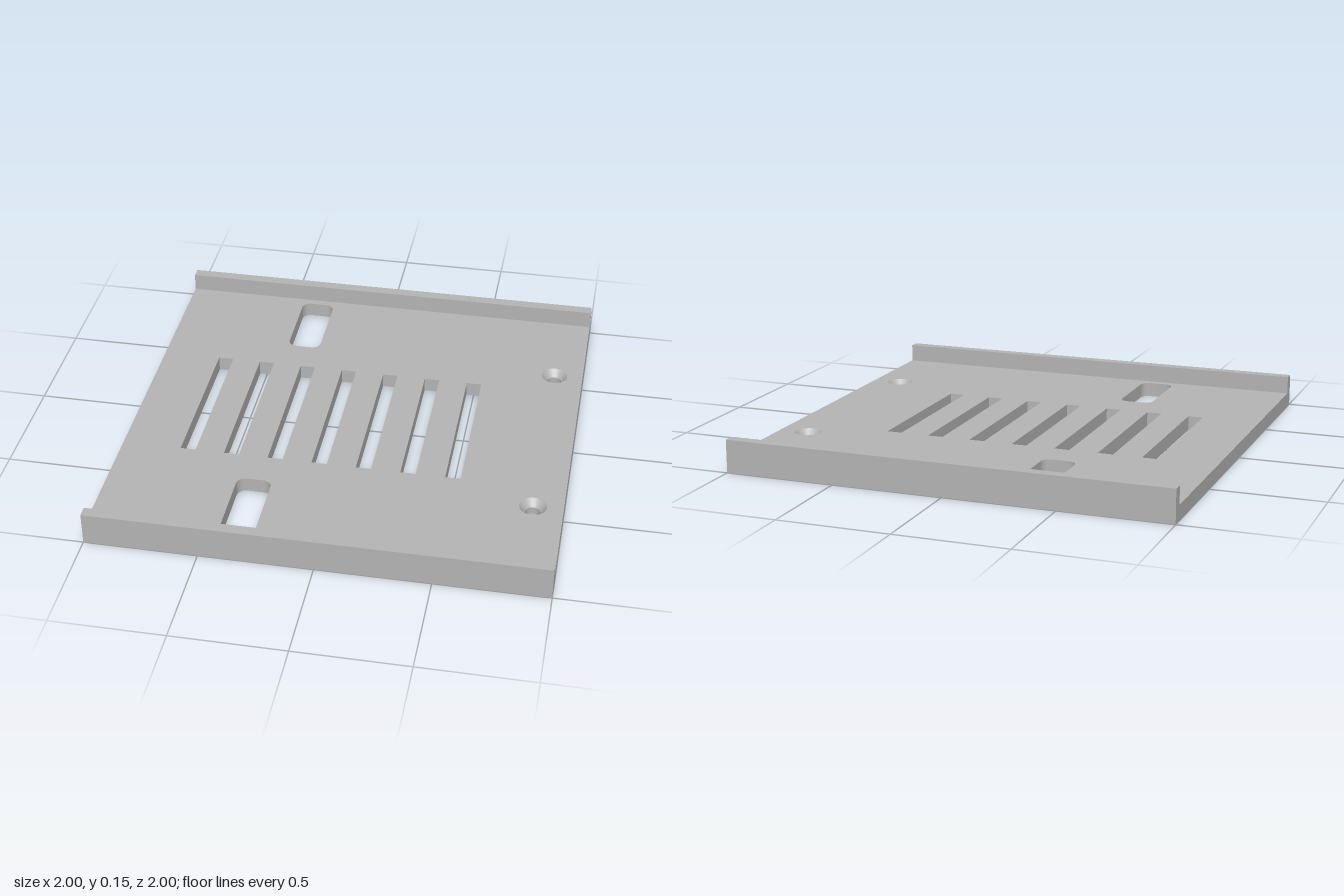
import * as THREE from 'three';
import { toCreasedNormals } from 'three/addons/utils/BufferGeometryUtils.js';

const THICK = 0.067, RAIL_H = 0.148, RAIL_W = 0.05;

// Rectangle outline with optional corner radius
function rectangle(Type, cx, cy, w, h, r = 0) {
  const x0 = cx - w / 2, x1 = cx + w / 2, y0 = cy - h / 2, y1 = cy + h / 2;
  const p = new Type();
  if (r === 0) {
    p.moveTo(x0, y0).lineTo(x1, y0).lineTo(x1, y1).lineTo(x0, y1).closePath();
    return p;
  }
  p.moveTo(x0 + r, y0);
  p.absarc(x1 - r, y0 + r, r, -Math.PI / 2, 0);
  p.absarc(x1 - r, y1 - r, r, 0, Math.PI / 2);
  p.absarc(x0 + r, y1 - r, r, Math.PI / 2, Math.PI);
  p.absarc(x0 + r, y0 + r, r, Math.PI, Math.PI * 1.5);
  p.closePath();
  return p;
}

export function createModel() {
  const group = new THREE.Group();
  const metal = new THREE.MeshStandardMaterial({ color: 0xb3b3b3 });
  metal.name = 'grey metal';

  const add = (name, geometry, x = 0, y = 0, z = 0) => {
    const mesh = new THREE.Mesh(geometry, metal);
    mesh.name = name;
    mesh.position.set(x, y, z);
    group.add(mesh);
  };

  // Base plate with vent slots, mounting slots and screw holes
  const plate = rectangle(THREE.Shape, 0, 0, 2, 2 - 2 * RAIL_W);
  for (let i = 0; i < 7; i++) {
    plate.holes.push(rectangle(THREE.Path, -0.7 + i * 0.2, 0, 0.069, 0.732));
  }
  for (const side of [-1, 1]) {
    plate.holes.push(rectangle(THREE.Path, -0.354, side * 0.723, 0.154, 0.384, 0.04));
    const hole = new THREE.Path();
    hole.absarc(0.867, side * 0.5, 0.06, 0, Math.PI * 2);
    plate.holes.push(hole);
  }
  const plateGeometry = new THREE.ExtrudeGeometry(plate, {
    depth: THICK, bevelEnabled: false, curveSegments: 16,
  });
  plateGeometry.rotateX(-Math.PI / 2);
  add('basePlate', toCreasedNormals(plateGeometry, 0.5));

  // Raised rails and countersinks, mirrored front to back
  const profile = [[0.06, THICK], [0.033, 0.034], [0.033, 0], [0.06, 0]]
    .map(([r, y]) => new THREE.Vector2(r, y));
  const sink = toCreasedNormals(new THREE.LatheGeometry(profile, 32), 0.5);
  for (const side of [-1, 1]) {
    const label = side > 0 ? 'front' : 'back';
    add(label + 'Rail', new THREE.BoxGeometry(2, RAIL_H, RAIL_W), 0, RAIL_H / 2, side * (1 - RAIL_W / 2));
    add(label + 'Countersink', sink, 0.867, 0, side * 0.5);
  }
  return group;
}
